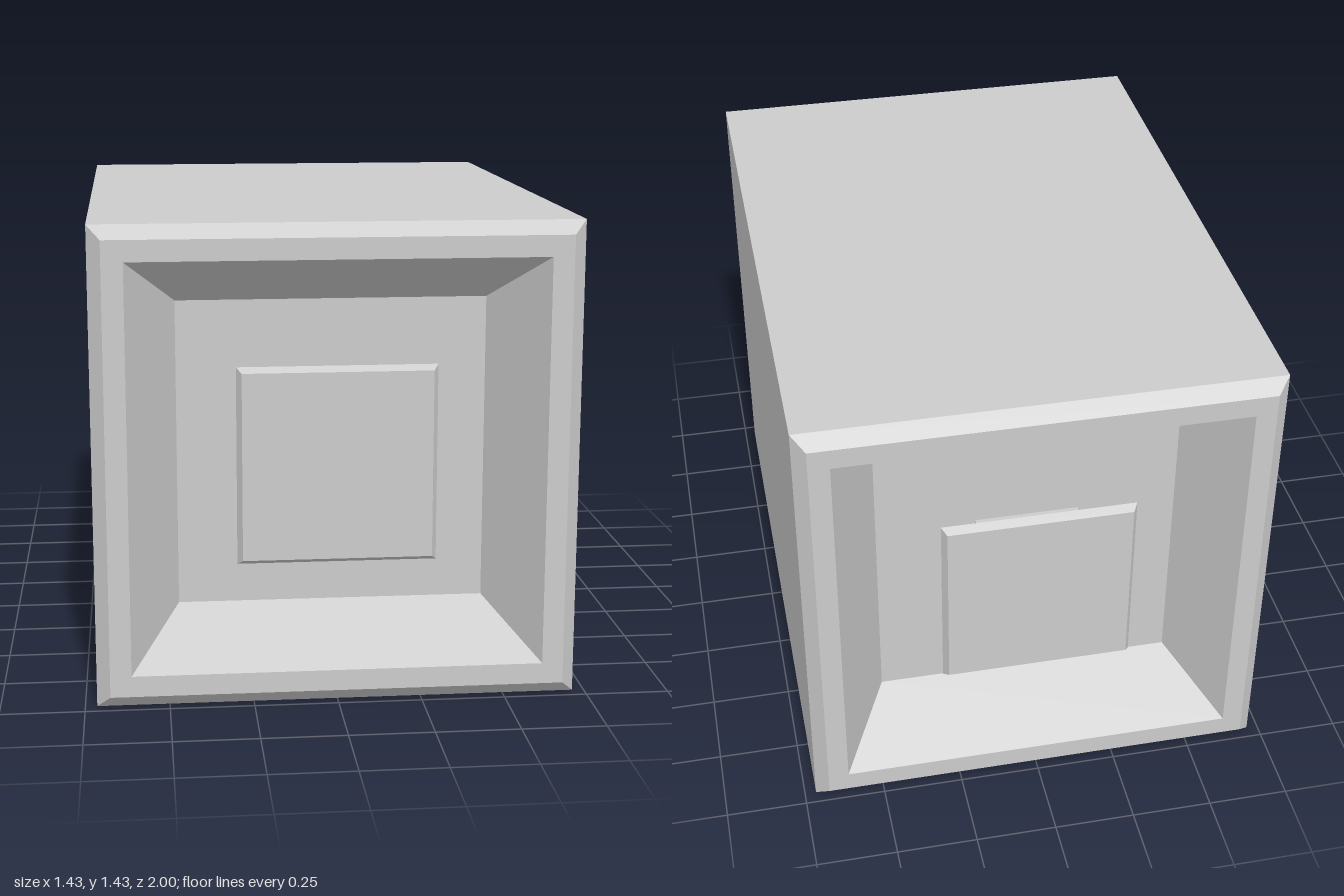
import * as THREE from 'three';

const bodyMaterial = new THREE.MeshStandardMaterial({ color: 0xcccccc });
const endMaterial = new THREE.MeshStandardMaterial({ color: 0xbdbdbd });

// Square section swept along z through [half width, z] steps, with flat faces
function squareLoft(name, steps, material) {
  const points = steps.map(([half, z]) => new THREE.Vector2(half * Math.SQRT2, z));
  const geometry = new THREE.LatheGeometry(points, 4, Math.PI / 4).toNonIndexed();
  geometry.rotateX(Math.PI / 2);
  geometry.computeVertexNormals();
  const mesh = new THREE.Mesh(geometry, material);
  mesh.name = name;
  return mesh;
}

// One end: chamfered rim, sloped recess, and a raised plate on a short stem
function createEnd(name) {
  const end = new THREE.Group();
  end.name = name;
  end.add(
    squareLoft('recessedCap', [
      [0.715, 0.715], [0.715, 0.96], [0.675, 1], [0.612, 1], [0.465, 0.765], [0, 0.765],
    ], endMaterial),
    squareLoft('plateStem', [[0.16, 0.765], [0.16, 0.936]], endMaterial),
    squareLoft('centrePlate', [[0, 0.936], [0.295, 0.936], [0.28, 0.96], [0, 0.96]], endMaterial),
  );
  return end;
}

export function createModel() {
  const model = new THREE.Group();
  model.name = 'squareContainer';

  // Plain middle section
  model.add(squareLoft('middleBody', [[0.715, -0.715], [0.715, 0.715]], bodyMaterial));

  // Matching ends, the back one turned around
  const front = createEnd('frontEnd');
  const back = createEnd('backEnd');
  back.rotation.y = Math.PI;
  model.add(front, back);

  // Stand everything on the ground
  for (const part of model.children) part.position.y = 0.715;
  return model;
}
